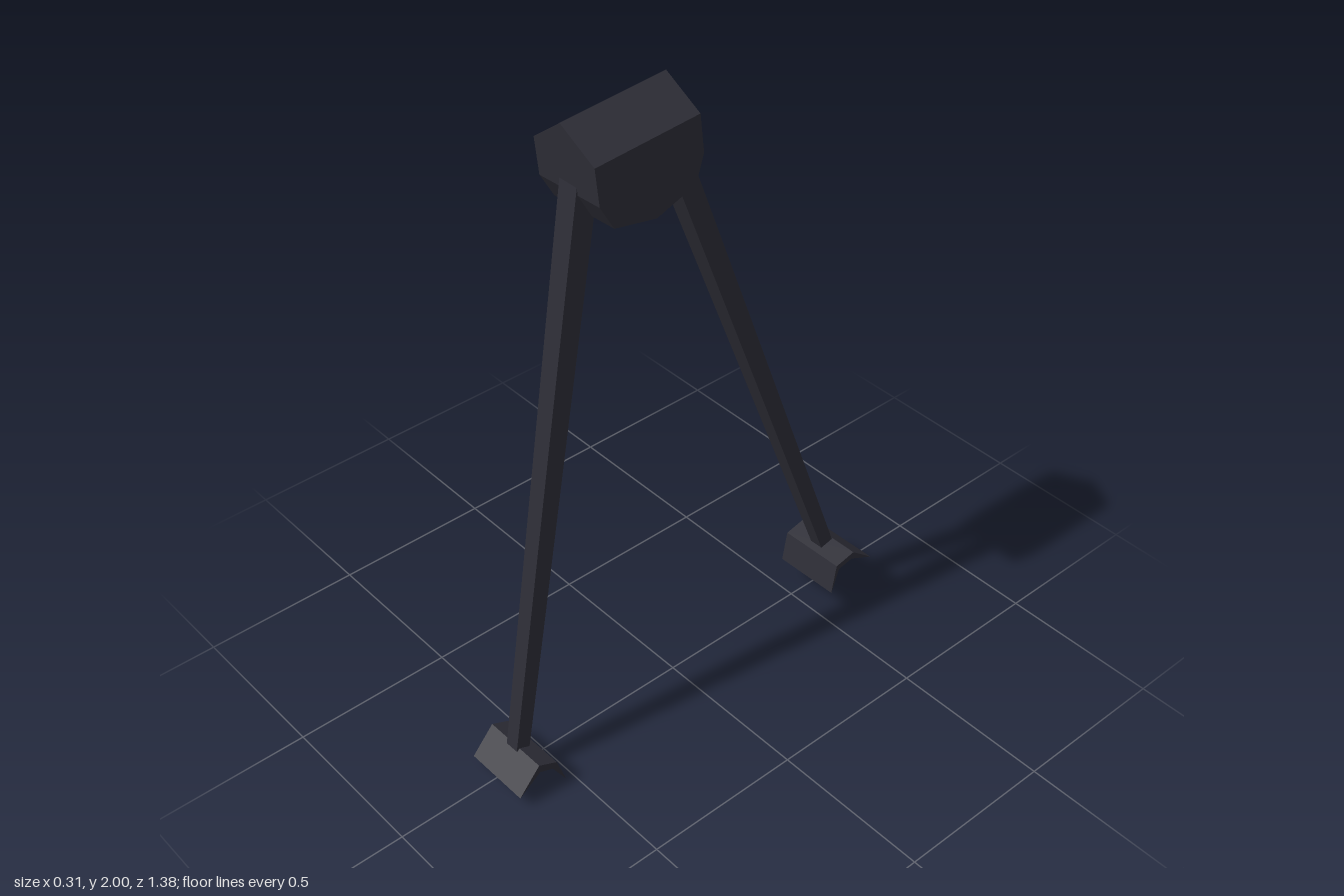
import * as THREE from 'three';

const darkGrey = new THREE.MeshStandardMaterial({ color: 0x2d2d36, flatShading: true });
darkGrey.name = 'darkGrey';

function part(name, geometry) {
  const mesh = new THREE.Mesh(geometry, darkGrey);
  mesh.name = name;
  return mesh;
}

// Extrudes a list of [a, b] points, centred on the extrusion axis z
function prism(points, depth) {
  const shape = new THREE.Shape(points.map(([a, b]) => new THREE.Vector2(a, b)));
  return new THREE.ExtrudeGeometry(shape, { depth, bevelEnabled: false }).translate(0, 0, -depth / 2);
}

// Extrudes a [z, y] side profile across x
const sidePrism = (points, width) => prism(points, width).rotateY(-Math.PI / 2);

// Square tapered leg between two points
function leg(name, top, bottom) {
  const axis = new THREE.Vector3().subVectors(top, bottom);
  const length = axis.length();
  axis.normalize();
  const across = new THREE.Vector3(1, 0, 0).addScaledVector(axis, -axis.x).normalize();
  const depth = new THREE.Vector3().crossVectors(across, axis);
  const geometry = new THREE.CylinderGeometry(0.068 / Math.SQRT2, 0.046 / Math.SQRT2, length, 4);
  geometry.rotateY(Math.PI / 4);
  const mesh = part(name, geometry);
  mesh.quaternion.setFromRotationMatrix(new THREE.Matrix4().makeBasis(across, axis, depth));
  mesh.position.addVectors(top, bottom).multiplyScalar(0.5);
  return mesh;
}

// Thin folded foot plate; profile is [z, y] relative to the ankle
function foot(name, ankle, profile) {
  const mesh = part(name, sidePrism(profile, 0.222));
  mesh.position.copy(ankle);
  mesh.rotation.set(0, -0.015, 0.04);
  return mesh;
}

export function createModel() {
  const model = new THREE.Group();

  // Head block with a chamfered, pointed underside and a gabled top
  const head = new THREE.Group();
  head.name = 'head';
  const half = 0.168, width = 0.234, eave = 0.062;
  head.add(part('headBody', sidePrism([
    [half, eave], [-half, eave], [-half, -0.047], [-0.133, -0.123],
    [0, -0.158], [0.133, -0.123], [half, -0.047],
  ], width)));
  head.add(part('headRoof', prism([[-width / 2, eave], [width / 2, eave], [0, 0.142]], half * 2)));
  head.position.set(-0.034, 1.845, 0.143);
  head.rotation.set(0.075, 0, 0.05);
  model.add(head);

  // Legs
  const V = (x, y, z) => new THREE.Vector3(x, y, z);
  model.add(leg('frontLeg', V(-0.035, 1.88, 0.261), V(0.02, 0.105, 0.603)));
  model.add(leg('backLeg', V(-0.036, 1.88, 0.02), V(0.037, 0.198, -0.587)));

  // Feet
  model.add(foot('frontFoot', V(0.024, 0.105, 0.603), [
    [0.085, -0.068], [0.012, 0.011], [-0.048, -0.015],
    [-0.076, -0.1], [-0.033, -0.031], [0.01, -0.015],
  ]));
  model.add(foot('backFoot', V(0.041, 0.198, -0.587), [
    [-0.1, -0.05], [-0.024, 0.01], [0.047, -0.007],
    [0.068, -0.102], [0.036, -0.023], [-0.018, -0.012],
  ]));
  return model;
}
